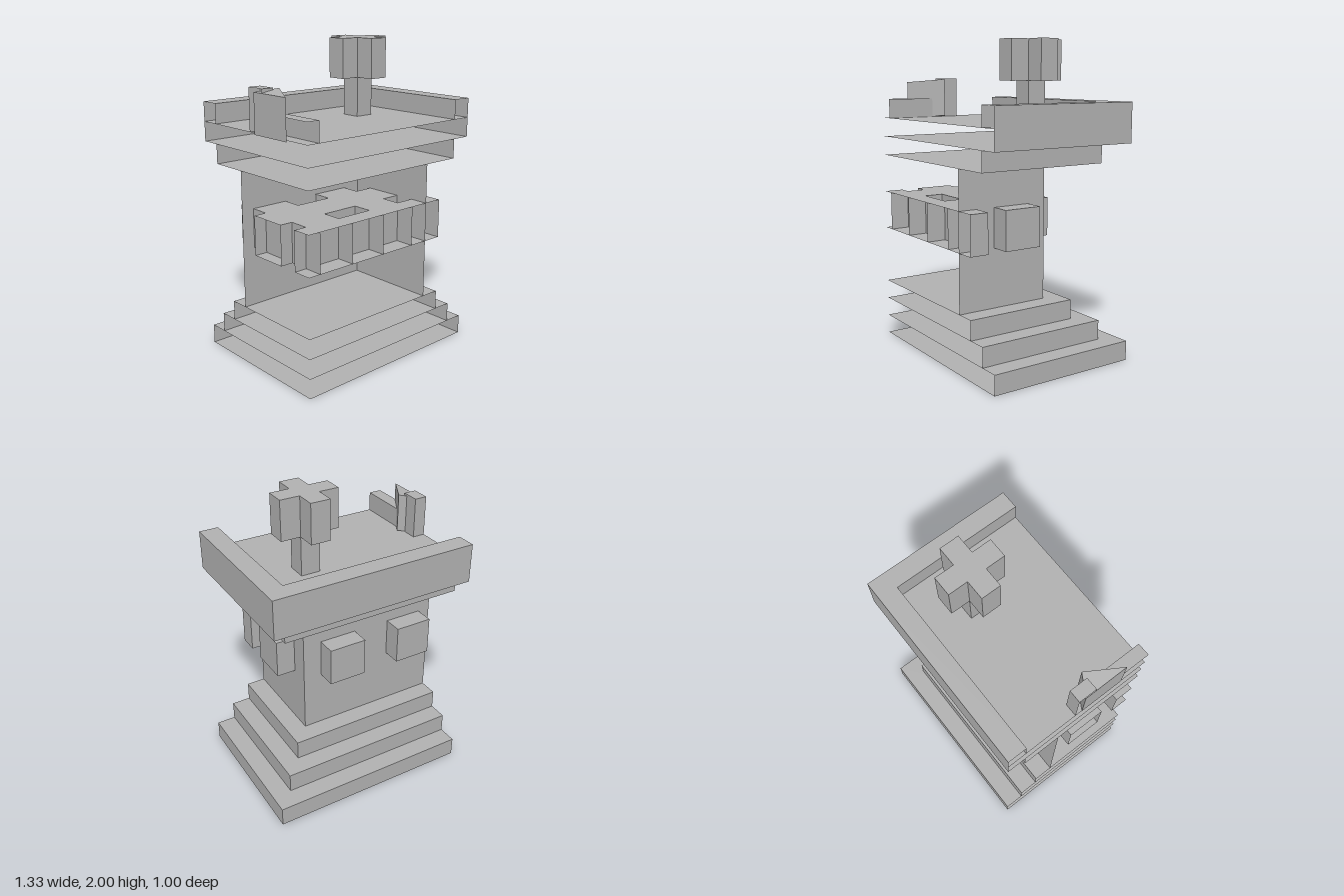
import * as THREE from 'three';

// Quarter of a stepped stone tower, left open along its two cut planes.
const U = 0.125;            // building grid
const L = -0.667, F = 0.5;  // cut planes at x = L and z = F
const R = 0.667, B = -0.5;  // outer corner of the footprint
const SIDES = ['px', 'nx', 'py', 'ny', 'pz', 'nz'];

// Box between two corners with the listed sides left out
function openBox(x0, x1, y0, y1, z0, z1, open = []) {
  const g = new THREE.BoxGeometry(x1 - x0, y1 - y0, z1 - z0);
  const src = Array.from(g.index.array);
  g.setIndex(src.filter((_, i) => !open.includes(SIDES[Math.floor(i / 6)])));
  g.clearGroups();
  g.translate((x0 + x1) / 2, (y0 + y1) / 2, (z0 + z1) / 2);
  return g;
}

export function createModel() {
  const group = new THREE.Group();
  group.name = 'towerCorner';
  const stone = new THREE.MeshStandardMaterial({ color: 0xb0b0b0 });
  stone.name = 'stone grey';
  stone.side = THREE.DoubleSide;

  const add = (name, geometry) => {
    const mesh = new THREE.Mesh(geometry, stone);
    mesh.name = name;
    group.add(mesh);
    return mesh;
  };
  // Layer running from both cut planes to an inset outer corner
  const layer = (name, inset, y0, y1, open = []) =>
    add(name, openBox(L, R - inset * U, y0, y1, B + inset * U, F, ['nx', 'pz', ...open]));

  // Stepped base
  for (let i = 0; i < 3; i++) layer('baseStep' + (i + 1), i, i * U, (i + 1) * U);

  // Shaft
  layer('shaft', 3, 0.375, 1.25, ['py', 'ny']);

  // Crossing beams whose ends stick out of the shaft
  for (const [z0, z1] of [[0, 0.25], [0.375, F]]) {
    add('sideBeam', openBox(L, R - 2 * U, 0.75, 1, z0, z1, z1 === F ? ['nx', 'pz'] : ['nx']));
  }
  for (const x0 of [-0.583, -0.083]) {
    add('backBeam', openBox(x0, x0 + 0.25, 0.75, 1, B + 2 * U, F, ['pz']));
  }

  // Cornice and platform
  layer('cornice', 1, 1.25, 1.375);
  layer('platform', 0, 1.375, 1.5);

  // Parapet
  add('sideParapet', openBox(R - U, R, 1.5, 1.625, B, F, ['pz', 'ny']));
  add('backParapet', openBox(L, R - U, 1.5, 1.625, B, B + U, ['nx', 'px', 'ny']));
  add('frontCurb', openBox(L, -0.583, 1.5, 1.625, 0.1, F, ['nx', 'pz', 'ny']));

  // Post and slanted slab standing at the cut edge
  add('post', openBox(L, -0.585, 1.5, 1.76, -0.02, 0.1, ['nx', 'ny']));
  const plan = new THREE.Shape([[L, -0.32], [-0.54, -0.1], [L, -0.027]].map(p => new THREE.Vector2(...p)));
  const slab = new THREE.ExtrudeGeometry(plan, { depth: 0.245, bevelEnabled: false });
  slab.rotateX(-Math.PI / 2);
  const pos = slab.attributes.position;
  for (let i = 0; i < pos.count; i++) {
    pos.setY(i, pos.getY(i) + 1.49 + 0.157 * (pos.getX(i) - L));
  }
  slab.computeVertexNormals();
  add('slantedSlab', slab);

  // Small tree: trunk and cross-shaped crown
  const tx = 0.167, tz = -0.125;
  add('trunk', openBox(tx, tx + U, 1.5, 1.75, tz, tz + U, ['ny', 'py']));
  add('crownCentre', openBox(tx, tx + U, 1.75, 2, tz, tz + U, ['px', 'nx', 'pz', 'nz']));
  for (const [dx, dz, inner] of [[1, 0, 'nx'], [-1, 0, 'px'], [0, 1, 'nz'], [0, -1, 'pz']]) {
    const x = tx + dx * U, z = tz + dz * U;
    add('crownArm', openBox(x, x + U, 1.75, 2, z, z + U, [inner]));
  }
  return group;
}
